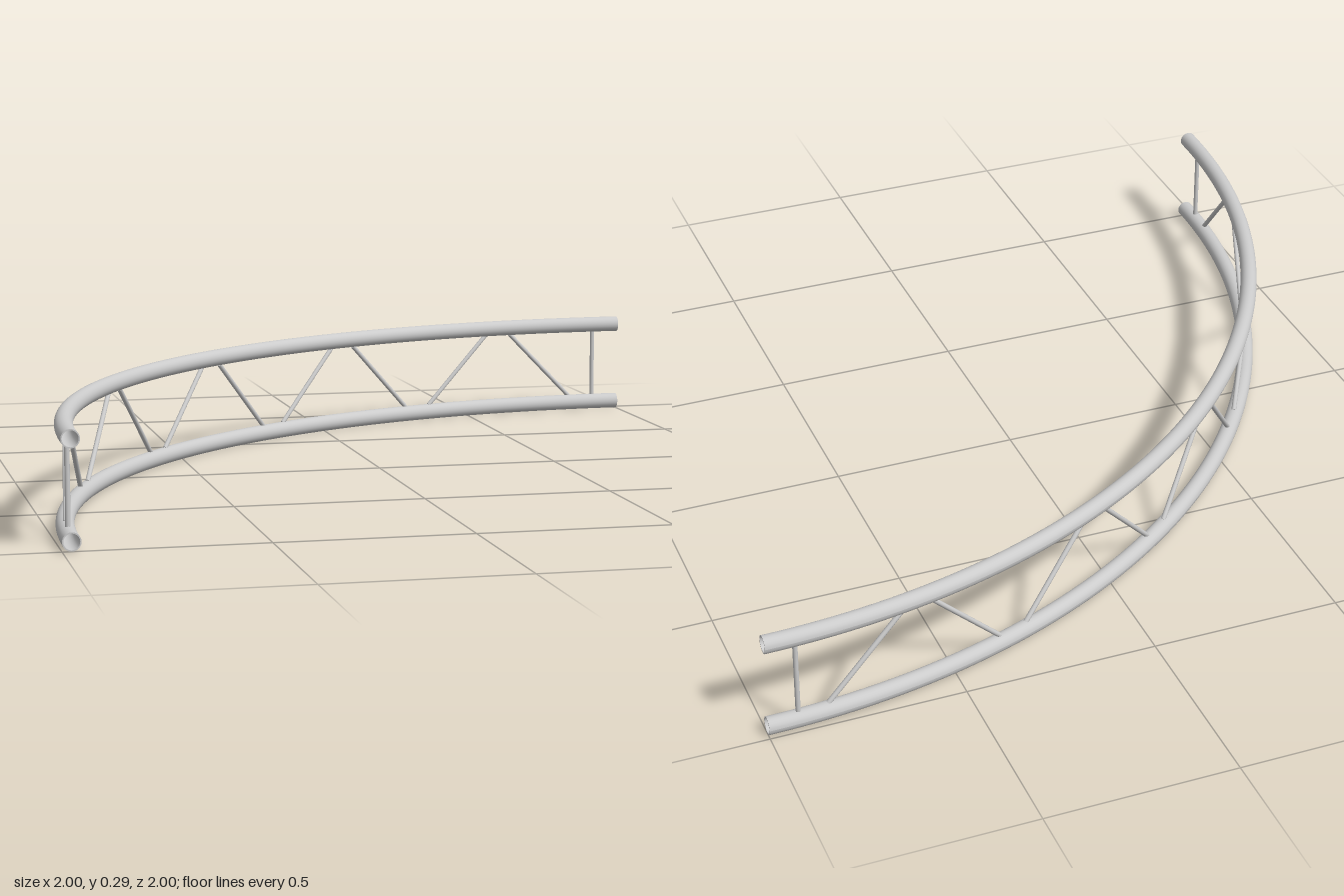
import * as THREE from 'three';

const TUBE = 0.023, BORE = 0.0198, STRUT = 0.0065;
const HEIGHT = 0.289;
const R = 2 - TUBE;                      // radius of the arc at the tube axis
const LOW = TUBE, HIGH = HEIGHT - TUBE;  // tube axis heights
const material = new THREE.MeshStandardMaterial({ color: 0xcccccc });

// Point on the quarter arc, whose centre is at x = 1, z = 1
const onArc = (angle, y) => new THREE.Vector3(1 - R * Math.sin(angle), y, 1 - R * Math.cos(angle));

function addMesh(group, name, geometry) {
  const mesh = new THREE.Mesh(geometry, material);
  mesh.name = name;
  group.add(mesh);
  return mesh;
}

// Quarter-turn wall of a pipe; a negative direction faces into the bore
function pipeWall(radius, direction) {
  const points = [];
  for (let i = 0; i <= 24; i++) {
    const a = direction * i / 24 * Math.PI * 2;
    points.push(new THREE.Vector2(R + radius * Math.cos(a), radius * Math.sin(a)));
  }
  return new THREE.LatheGeometry(points, 72, Math.PI, Math.PI / 2);
}

// Hollow curved pipe with ring-shaped ends
function makeChord(name, y) {
  const chord = new THREE.Group();
  chord.name = name;
  addMesh(chord, 'outerWall', pipeWall(TUBE, 1)).position.set(1, y, 1);
  addMesh(chord, 'innerWall', pipeWall(BORE, -1)).position.set(1, y, 1);
  const ring = new THREE.RingGeometry(BORE, TUBE, 24);
  const backEnd = addMesh(chord, 'backEndRim', ring);
  backEnd.position.copy(onArc(0, y));
  backEnd.rotation.y = Math.PI / 2;
  addMesh(chord, 'frontEndRim', ring).position.copy(onArc(Math.PI / 2, y));
  return chord;
}

// Straight round bar between two points
function addStrut(group, name, from, to) {
  const span = to.clone().sub(from);
  const strut = addMesh(group, name, new THREE.CylinderGeometry(STRUT, STRUT, span.length(), 12));
  strut.position.copy(from).addScaledVector(span, 0.5);
  strut.quaternion.setFromUnitVectors(new THREE.Vector3(0, 1, 0), span.normalize());
}

export function createModel() {
  const model = new THREE.Group();
  model.name = 'curvedTruss';
  model.add(makeChord('lowerChord', LOW), makeChord('upperChord', HIGH));

  // Bars stop just inside the pipe walls
  const bottom = LOW + 0.0205, top = HIGH - 0.0205;

  // Upright bar near each end
  for (const angle of [0.04, Math.PI / 2 - 0.04]) {
    addStrut(model, 'endPost', onArc(angle, bottom), onArc(angle, top));
  }

  // Zigzag of ten diagonals, low at both ends, with a gap at every node
  const count = 10, step = 0.1455, gap = 0.0215;
  const start = Math.PI / 4 - step * count / 2;
  for (let i = 0; i < count; i++) {
    const rising = i % 2 === 0;
    addStrut(model, 'diagonal',
      onArc(start + i * step + gap, rising ? bottom : top),
      onArc(start + (i + 1) * step - gap, rising ? top : bottom));
  }
  return model;
}
